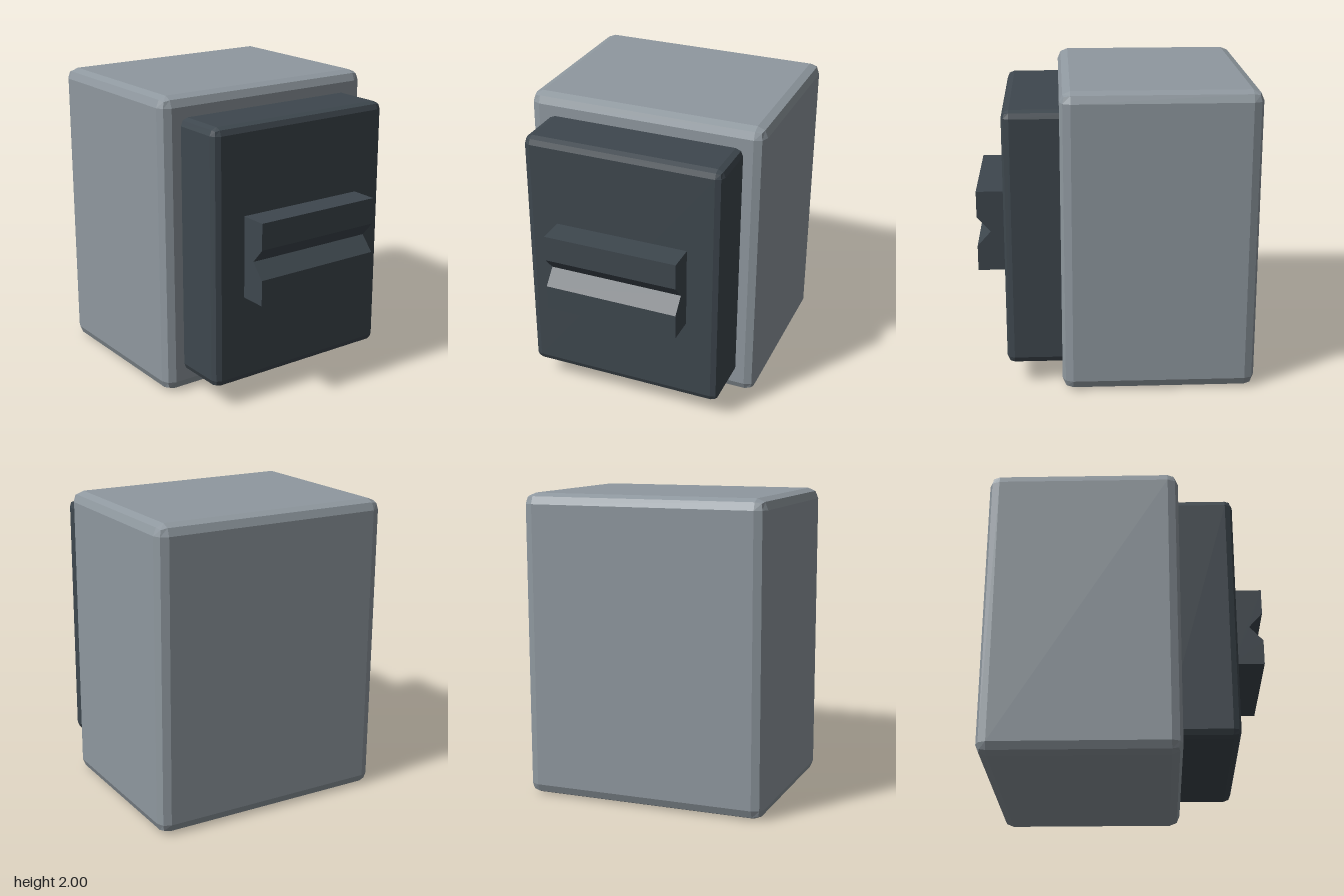
import * as THREE from 'three';
import { RoundedBoxGeometry } from 'three/addons/geometries/RoundedBoxGeometry.js';

const bodyMaterial = new THREE.MeshStandardMaterial({ color: 0x8f989f, flatShading: true });
const darkMaterial = new THREE.MeshStandardMaterial({ color: 0x3e474e, flatShading: true });

// Box with two-facet rounded edges, spanning the given y and z ranges
function roundedBlock(name, width, [y0, y1], [z0, z1], radius, material) {
  const geometry = new RoundedBoxGeometry(width, y1 - y0, z1 - z0, 1, radius);
  const mesh = new THREE.Mesh(geometry, material);
  mesh.position.set(0, (y0 + y1) / 2, (z0 + z1) / 2);
  mesh.name = name;
  return mesh;
}

// Front grip: side profile in (z, y) with a V groove, extruded across x
function createGrip() {
  const width = 0.91;
  const profile = new THREE.Shape([
    [0.7, 0.73], [0.91, 0.73], [0.91, 0.9], [0.82, 1.0],
    [0.91, 1.1], [0.91, 1.275], [0.7, 1.275],
  ].map(([z, y]) => new THREE.Vector2(z, y)));
  const geometry = new THREE.ExtrudeGeometry(profile, { depth: width, bevelEnabled: false });
  geometry.translate(0, 0, -width / 2).rotateY(-Math.PI / 2);
  const mesh = new THREE.Mesh(geometry, darkMaterial);
  mesh.name = 'groovedGrip';
  return mesh;
}

export function createModel() {
  const model = new THREE.Group();
  model.name = 'block';
  model.add(
    roundedBlock('body', 1.63, [0, 2], [-0.91, 0.36], 0.07, bodyMaterial),
    roundedBlock('frontPanel', 1.36, [0.14, 1.86], [0.2, 0.725], 0.05, darkMaterial),
    createGrip(),
  );
  return model;
}
